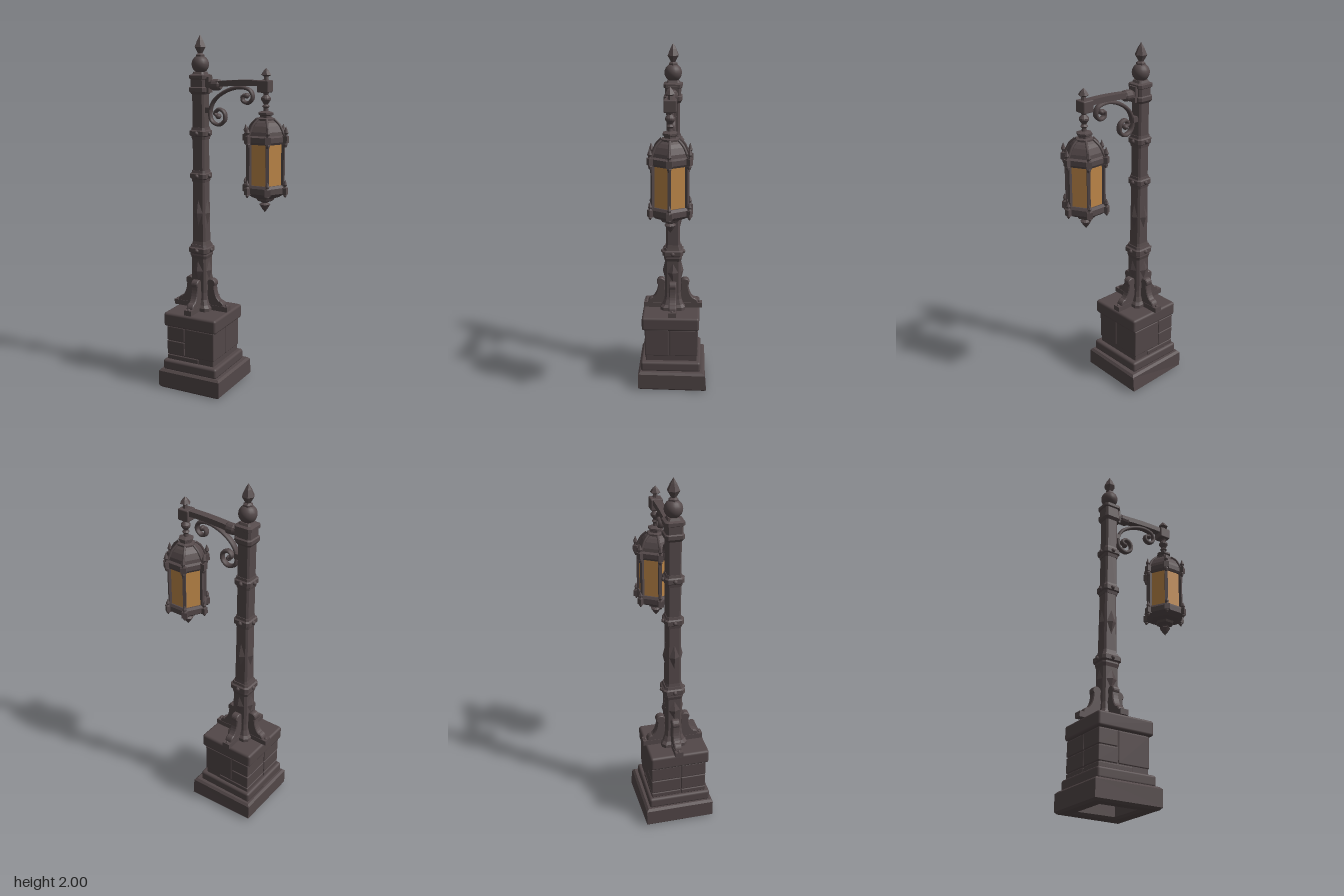
import * as THREE from 'three';
import { RoundedBoxGeometry } from 'three/addons/geometries/RoundedBoxGeometry.js';

const stone = new THREE.MeshStandardMaterial({ color: 0x524748 });
const metal = new THREE.MeshStandardMaterial({ color: 0x54494a });
const glass = new THREE.MeshStandardMaterial({ color: 0xbd8648 });
stone.name = 'weathered stone';
metal.name = 'dark iron';
glass.name = 'amber glass';

const POST_X = -0.172, LAMP_X = 0.22;

// cross-sections in (x, z), ordered by angle
const ngon = (n, start = 0) => Array.from({ length: n }, (_, i) => {
  const a = start + (i / n) * Math.PI * 2;
  return [Math.cos(a), Math.sin(a)];
});
const C = 0.74;
const SQUARE = [[1, -C], [1, C], [C, 1], [-C, 1], [-1, C], [-1, -C], [-C, -1], [C, -1]];
const HEX = ngon(6), ROUND = ngon(14);

// faceted solid: a section scaled along a [radius, y] profile, bottom to top
function loft(section, profile) {
  const rings = [[0, profile[0][1]], ...profile, [0, profile[profile.length - 1][1]]];
  const pos = [];
  const at = (k, i) => {
    const [x, z] = section[i % section.length], [r, y] = rings[k];
    return [x * r, y, z * r];
  };
  for (let k = 0; k < rings.length - 1; k++) {
    for (let i = 0; i < section.length; i++) {
      if (rings[k + 1][0] > 0) pos.push(...at(k, i), ...at(k + 1, i), ...at(k + 1, i + 1));
      if (rings[k][0] > 0) pos.push(...at(k, i), ...at(k + 1, i + 1), ...at(k, i + 1));
    }
  }
  const g = new THREE.BufferGeometry();
  g.setAttribute('position', new THREE.Float32BufferAttribute(pos, 3));
  g.computeVertexNormals();
  return g;
}

function add(parent, name, geometry, material, x = 0, y = 0, z = 0) {
  const mesh = new THREE.Mesh(geometry, material);
  mesh.name = name;
  mesh.position.set(x, y, z);
  parent.add(mesh);
  return mesh;
}

// stone block given by its limits
function block(parent, name, x0, x1, y0, y1, z0, z1, r = 0.012) {
  return add(parent, name, new RoundedBoxGeometry(x1 - x0, y1 - y0, z1 - z0, 2, r), stone,
    (x0 + x1) / 2, (y0 + y1) / 2, (z0 + z1) / 2);
}

function pedestal() {
  const g = new THREE.Group();
  g.name = 'pedestal';
  // plinth, open underneath
  const rect = (P, h) => {
    const p = new P();
    p.moveTo(-h, -h); p.lineTo(h, -h); p.lineTo(h, h); p.lineTo(-h, h); p.closePath();
    return p;
  };
  const shape = rect(THREE.Shape, 0.183);
  shape.holes.push(rect(THREE.Path, 0.13));
  const plinth = new THREE.ExtrudeGeometry(shape, {
    depth: 0.091, bevelThickness: 0.012, bevelSize: 0.012, bevelSegments: 1 });
  plinth.rotateX(-Math.PI / 2).translate(-0.157, 0.012, 0.005);
  // worn, slightly spread back corner
  const p = plinth.attributes.position;
  for (let i = 0; i < p.count; i++) {
    if (p.getX(i) > 0 && p.getZ(i) < -0.1) {
      p.setX(i, p.getX(i) + 0.007);
      p.setZ(i, p.getZ(i) - (p.getY(i) < 0.05 ? 0.014 : 0.005));
    }
  }
  plinth.computeVertexNormals();
  add(g, 'plinth', plinth, stone);
  block(g, 'plinthStep', -0.332, 0.012, 0.11, 0.172, -0.168, 0.185, 0.014);
  block(g, 'pedestalCore', -0.309, -0.017, 0.16, 0.385, -0.147, 0.157, 0.006);
  // raised masonry blocks with open joints
  for (const [y0, y1, split] of [[0.172, 0.2, -0.11], [0.204, 0.285, -0.2], [0.289, 0.372, -0.2]]) {
    block(g, 'frontLeftBlock', -0.315, split - 0.002, y0, y1, 0.02, 0.162, 0.005);
    block(g, 'backLeftBlock', -0.314, split - 0.002, y0, y1, -0.152, 0.016, 0.005);
  }
  block(g, 'frontRightBlock', -0.198, -0.013, 0.204, 0.372, 0.02, 0.161, 0.006);
  block(g, 'backRightBlock', -0.198, -0.012, 0.204, 0.372, -0.151, 0.016, 0.006);
  block(g, 'pedestalCap', -0.327, 0.006, 0.374, 0.456, -0.158, 0.177, 0.014);
  return g;
}

function post() {
  const g = new THREE.Group();
  g.name = 'post';
  g.position.x = POST_X;
  add(g, 'shaft', loft(SQUARE, [
    [0.072, 0.45], [0.072, 0.475], [0.06, 0.49], [0.05, 0.52], [0.046, 0.56], [0.046, 0.76],
    [0.052, 0.78], [0.046, 0.83], [0.04, 0.86], [0.037, 1.2], [0.037, 1.7]]), metal);
  // collars with a stud on every side
  for (const [y, r] of [[0.81, 0.06], [1.235, 0.05], [1.473, 0.05]]) {
    add(g, 'collar', loft(SQUARE, [[r * 0.8, y - 0.035], [r * 0.86, y - 0.018], [r, y - 0.012],
      [r, y + 0.012], [r * 0.86, y + 0.018], [r * 0.8, y + 0.032]]), metal);
    for (let k = 0; k < 4; k++) {
      const a = k * Math.PI / 2;
      add(g, 'collarStud', new THREE.SphereGeometry(0.012, 8, 6), metal,
        Math.cos(a) * r, y, Math.sin(a) * r);
    }
  }
  // raised diamonds and scrolled feet on four sides
  const foot = new THREE.Shape();
  foot.moveTo(0.03, 0.488);
  foot.lineTo(0.145, 0.488);
  foot.quadraticCurveTo(0.14, 0.512, 0.118, 0.515);
  foot.quadraticCurveTo(0.088, 0.54, 0.085, 0.605);
  foot.absarc(0.07, 0.617, 0.022, -0.5, Math.PI * 1.1, false);
  foot.quadraticCurveTo(0.06, 0.57, 0.03, 0.54);
  const footGeo = new THREE.ExtrudeGeometry(foot, {
    depth: 0.032, bevelThickness: 0.005, bevelSize: 0.004, bevelSegments: 1, curveSegments: 6 });
  footGeo.translate(0, 0, -0.016);
  for (let k = 0; k < 4; k++) {
    const side = new THREE.Group();
    side.name = 'postSide';
    side.rotation.y = k * Math.PI / 2;
    g.add(side);
    add(side, 'lowerDiamond', new THREE.OctahedronGeometry(1).scale(0.014, 0.058, 0.032), metal, 0.047, 0.69);
    add(side, 'upperDiamond', new THREE.OctahedronGeometry(1).scale(0.017, 0.075, 0.029), metal, 0.038, 1.025);
    add(side, 'footScroll', footGeo, metal);
    add(side, 'footPlate', new THREE.BoxGeometry(0.13, 0.03, 0.046), metal, 0.107, 0.473);
    add(side, 'footStud', new THREE.SphereGeometry(0.009, 8, 6), metal, 0.158, 0.488);
  }
  // head, ball and spear finial
  add(g, 'postHead', loft(SQUARE, [[0.04, 1.685], [0.05, 1.7], [0.05, 1.72], [0.043, 1.725],
    [0.043, 1.765], [0.051, 1.77], [0.051, 1.787], [0.036, 1.793], [0.03, 1.805]]), metal);
  add(g, 'ball', new THREE.SphereGeometry(0.048, 18, 12), metal, 0, 1.845, 0);
  add(g, 'finial', loft(HEX, [[0.026, 1.885], [0.026, 1.895], [0.014, 1.903], [0.034, 1.937],
    [0.018, 1.972], [0.001, 2]]), metal);
  return g;
}

function arm() {
  const g = new THREE.Group();
  g.name = 'arm';
  // gently bowed beam
  const beam = new THREE.Shape();
  beam.moveTo(-0.13, 1.718);
  beam.quadraticCurveTo(0.03, 1.742, 0.2, 1.738);
  beam.lineTo(0.2, 1.768);
  beam.quadraticCurveTo(0.03, 1.772, -0.13, 1.75);
  add(g, 'beam', new THREE.ExtrudeGeometry(beam, { depth: 0.044, bevelEnabled: false })
    .translate(0, 0, -0.022), metal);
  const knuckle = loft(ROUND, [[0.022, -0.035], [0.03, -0.018], [0.03, 0.018], [0.022, 0.03]]);
  add(g, 'knuckle', knuckle.rotateZ(-Math.PI / 2), metal, -0.075, 1.737);
  add(g, 'wallPlate', new THREE.BoxGeometry(0.022, 0.085, 0.05), metal, -0.121, 1.737);
  add(g, 'endBlock', new RoundedBoxGeometry(0.066, 0.064, 0.066, 1, 0.006), metal, 0.213, 1.738);
  add(g, 'endFinial', loft(HEX, [[0.016, 1.765], [0.012, 1.788], [0.029, 1.797], [0.016, 1.817],
    [0.001, 1.832]]), metal, LAMP_X);
  // C-shaped scroll brace
  const path = new THREE.CatmullRomCurve3([
    [-0.062, 1.568], [-0.082, 1.585], [-0.058, 1.607], [-0.025, 1.59], [-0.022, 1.55],
    [-0.058, 1.523], [-0.1, 1.54], [-0.112, 1.59], [-0.085, 1.655], [-0.01, 1.708],
    [0.075, 1.728], [0.13, 1.712], [0.143, 1.675], [0.115, 1.647], [0.085, 1.66],
    [0.087, 1.685], [0.108, 1.686]].map(([x, y]) => new THREE.Vector3(x, y, 0)));
  const brace = new THREE.TubeGeometry(path, 90, 0.0105, 8);
  add(g, 'scrollBrace', brace.scale(1, 1, 1.7), metal);
  for (const [x, y] of [[-0.062, 1.568], [0.108, 1.686]]) {
    add(g, 'scrollEye', new THREE.SphereGeometry(0.015, 10, 8).scale(1, 1, 1.35), metal, x, y);
  }
  add(g, 'lowerBraceClip', new THREE.BoxGeometry(0.03, 0.03, 0.04), metal, -0.122, 1.6);
  return g;
}

function lantern() {
  const g = new THREE.Group();
  g.name = 'lantern';
  g.position.x = LAMP_X;
  add(g, 'hanger', loft(ROUND, [[0.016, 1.59], [0.012, 1.625], [0.02, 1.635], [0.011, 1.645],
    [0.026, 1.668], [0.026, 1.678], [0.012, 1.695], [0.018, 1.71]]), metal);
  add(g, 'roof', loft(HEX, [[0.108, 1.44], [0.115, 1.452], [0.115, 1.478], [0.1, 1.486],
    [0.096, 1.505], [0.08, 1.535], [0.064, 1.552], [0.05, 1.562], [0.05, 1.572], [0.034, 1.577],
    [0.034, 1.587], [0.043, 1.592], [0.043, 1.602], [0.018, 1.61]]), metal);
  add(g, 'glassPanes', loft(HEX, [[0.1, 1.2], [0.1, 1.45]]), glass);
  add(g, 'lowerBody', loft(HEX, [[0.03, 1.125], [0.048, 1.133], [0.055, 1.145], [0.085, 1.157],
    [0.108, 1.172], [0.117, 1.178], [0.117, 1.208], [0.108, 1.222]]), metal);
  add(g, 'bottomFinial', loft(ROUND, [[0.001, 1.065], [0.016, 1.085], [0.03, 1.108],
    [0.016, 1.118], [0.024, 1.13]]), metal);
  const rib = new THREE.CatmullRomCurve3([[0.11, 1.482], [0.098, 1.507], [0.082, 1.538],
    [0.05, 1.568]].map(([x, y]) => new THREE.Vector3(x, y, 0)));
  for (let k = 0; k < 6; k++) {
    const corner = new THREE.Group();
    corner.name = 'lanternCorner';
    corner.rotation.y = k * Math.PI / 3;
    g.add(corner);
    add(corner, 'cornerBar', new THREE.BoxGeometry(0.02, 0.27, 0.017), metal, 0.1, 1.33);
    add(corner, 'roofRib', new THREE.TubeGeometry(rib, 8, 0.007, 6), metal);
    for (const y of [1.19, 1.465]) {
      add(corner, 'cornerBlock', new THREE.BoxGeometry(0.026, 0.036, 0.03), metal, 0.115, y);
    }
    add(corner, 'cornerSpire', loft(HEX, [[0.01, 1.48], [0.008, 1.492], [0.014, 1.502],
      [0.001, 1.535]]), metal, 0.117);
    add(corner, 'cornerCup', loft(HEX, [[0.008, 1.425], [0.013, 1.44], [0.01, 1.45]]), metal, 0.114);
    add(corner, 'lowerSpire', loft(HEX, [[0.013, 1.205], [0.008, 1.215], [0.012, 1.225],
      [0.001, 1.25]]), metal, 0.117);
    add(corner, 'cornerDrop', loft(HEX, [[0.003, 1.155], [0.011, 1.168], [0.008, 1.175]]), metal, 0.117);
  }
  return g;
}

export function createModel() {
  const model = new THREE.Group();
  model.name = 'streetLamp';
  model.add(pedestal(), post(), arm(), lantern());
  return model;
}
